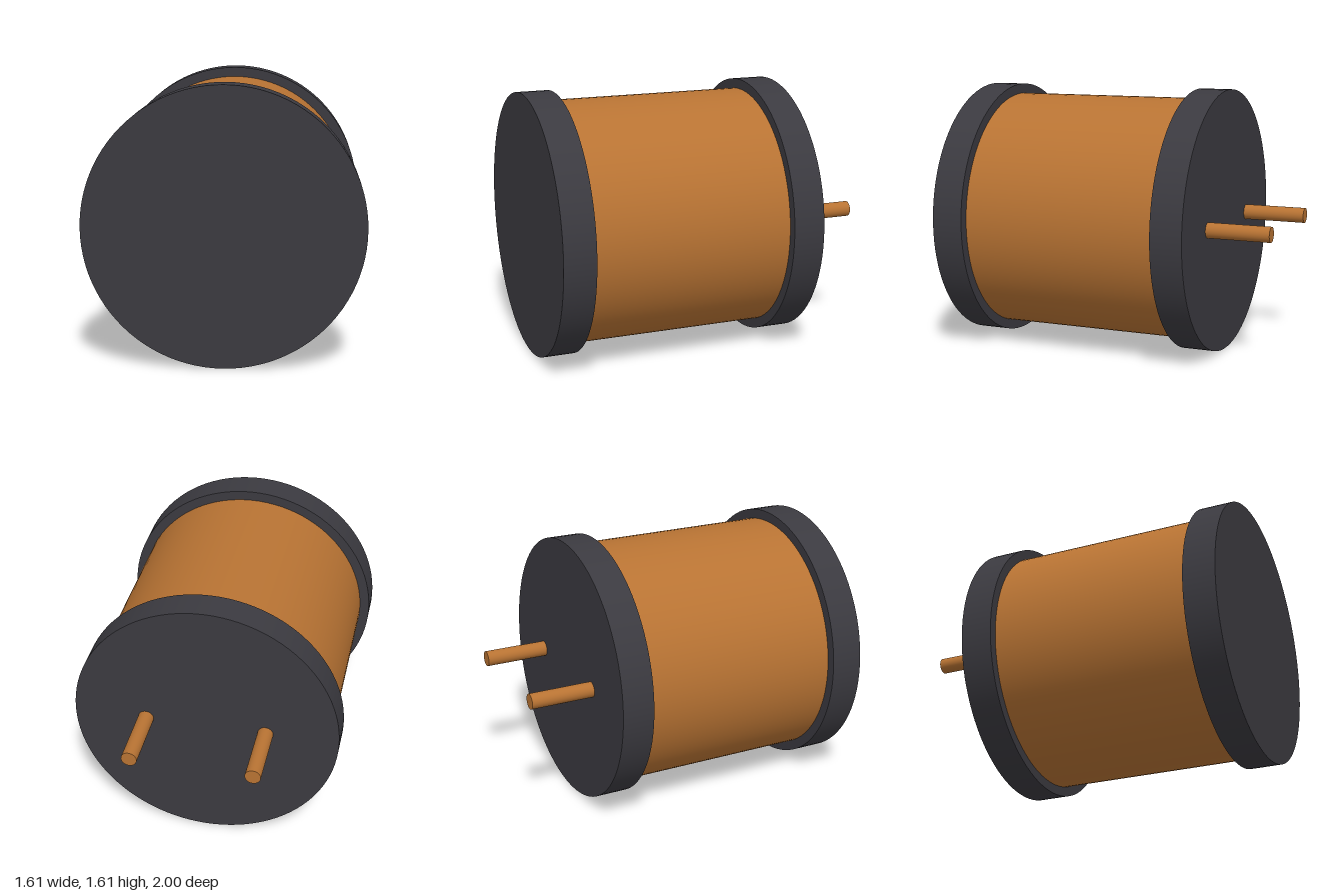
import * as THREE from 'three';

const CENTER_Y = 0.805;

export function createModel() {
  const group = new THREE.Group();
  group.name = 'inductorCoil';

  const ferrite = new THREE.MeshStandardMaterial({ color: 0x3b3a40 });
  ferrite.name = 'darkFerrite';
  const copper = new THREE.MeshStandardMaterial({ color: 0xb87333 });
  copper.name = 'copper';

  // Cylinder lying along z between two depths
  function zCylinder(name, radius, z0, z1, sides, material, x = 0) {
    const geometry = new THREE.CylinderGeometry(radius, radius, z1 - z0, sides);
    geometry.rotateX(Math.PI / 2);
    const mesh = new THREE.Mesh(geometry, material);
    mesh.name = name;
    mesh.position.set(x, CENTER_Y, (z0 + z1) / 2);
    group.add(mesh);
  }

  // End flanges and the winding between them
  zCylinder('frontFlange', 0.805, 0.805, 1, 96, ferrite);
  zCylinder('backFlange', 0.805, -0.61, -0.415, 96, ferrite);
  zCylinder('winding', 0.745, -0.415, 0.805, 96, copper);

  // Two lead pins out of the back
  zCylinder('leftPin', 0.047, -1, -0.6, 32, copper, 0.365);
  zCylinder('rightPin', 0.047, -1, -0.6, 32, copper, -0.365);

  return group;
}
